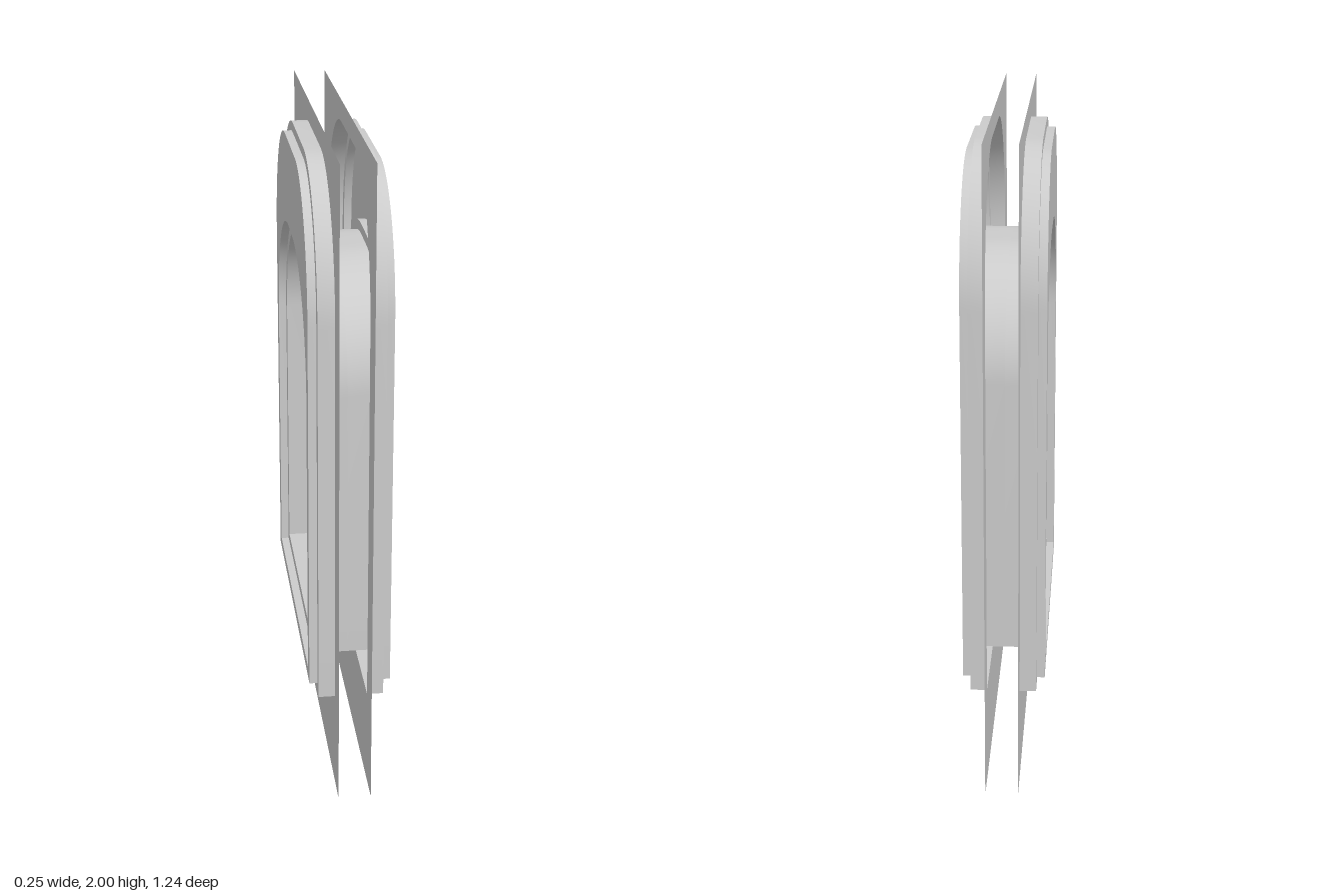
import * as THREE from 'three';
import { toCreasedNormals } from 'three/addons/utils/BufferGeometryUtils.js';

const material = new THREE.MeshStandardMaterial({ color: 0xcccccc, side: THREE.DoubleSide });

// Arched outline (counter-clockwise): straight jambs, rounded shoulders, short flat crown
function arch({ w, bottom, top, flat, spring }, steps = 20) {
  const pts = [new THREE.Vector2(-w, bottom), new THREE.Vector2(w, bottom)];
  for (const side of [1, -1]) {
    for (let i = 0; i <= steps; i++) {
      const t = (side > 0 ? i : steps - i) / steps * Math.PI / 2;
      pts.push(new THREE.Vector2(
        side * (flat + (w - flat) * Math.cos(t)),
        spring + (top - spring) * Math.sin(t)));
    }
  }
  return pts;
}

const outer = arch({ w: 0.52, bottom: 0.305, top: 1.932, flat: 0.16, spring: 1.5 });
const outerStep = arch({ w: 0.49, bottom: 0.337, top: 1.902, flat: 0.16, spring: 1.5 });
const innerStep = arch({ w: 0.447, bottom: 0.37, top: 1.635, flat: 0.06, spring: 1.25 });
const opening = arch({ w: 0.415, bottom: 0.4, top: 1.603, flat: 0.06, spring: 1.25 });

// Flat face between two outlines at depth z
function face(outline, hole, z, name) {
  const shape = new THREE.Shape(outline);
  shape.holes.push(new THREE.Path(hole));
  const mesh = new THREE.Mesh(new THREE.ShapeGeometry(shape), material);
  mesh.position.z = z;
  mesh.name = name;
  return mesh;
}

// Wall following an outline from z0 to z1 (faces outward when z1 > z0, inward otherwise)
function wall(outline, z0, z1, name) {
  const pos = [];
  outline.forEach((p, i) => {
    const q = outline[(i + 1) % outline.length];
    pos.push(p.x, p.y, z0, q.x, q.y, z0, q.x, q.y, z1);
    pos.push(p.x, p.y, z0, q.x, q.y, z1, p.x, p.y, z1);
  });
  const geo = new THREE.BufferGeometry();
  geo.setAttribute('position', new THREE.Float32BufferAttribute(pos, 3));
  const mesh = new THREE.Mesh(toCreasedNormals(geo, 0.6), material);
  mesh.name = name;
  return mesh;
}

export function createModel() {
  const model = new THREE.Group();
  model.name = 'archedWindow';
  const panel = [[-0.622, 0], [0.622, 0], [0.622, 2], [-0.622, 2]].map(([x, y]) => new THREE.Vector2(x, y));

  // Thin wall panel and hollow stepped trim, once for each side of the wall
  for (const side of [1, -1]) {
    const half = new THREE.Group();
    half.name = side > 0 ? 'leftSide' : 'rightSide';
    half.add(
      face(panel, outer, 0.05, 'wallPanel'),
      wall(outer, 0.05, 0.1, 'trimOuterEdge'),
      face(outer, outerStep, 0.1, 'trimOuterLedge'),
      wall(outerStep, 0.1, 0.125, 'trimRaisedEdge'),
      face(outerStep, innerStep, 0.125, 'trimFace'),
      wall(innerStep, 0.125, 0.1, 'trimInnerEdge'),
      face(innerStep, opening, 0.1, 'trimInnerLedge'),
      wall(opening, 0.1, 0, 'openingReveal'));
    half.rotation.y = side * Math.PI / 2;
    model.add(half);
  }
  return model;
}
